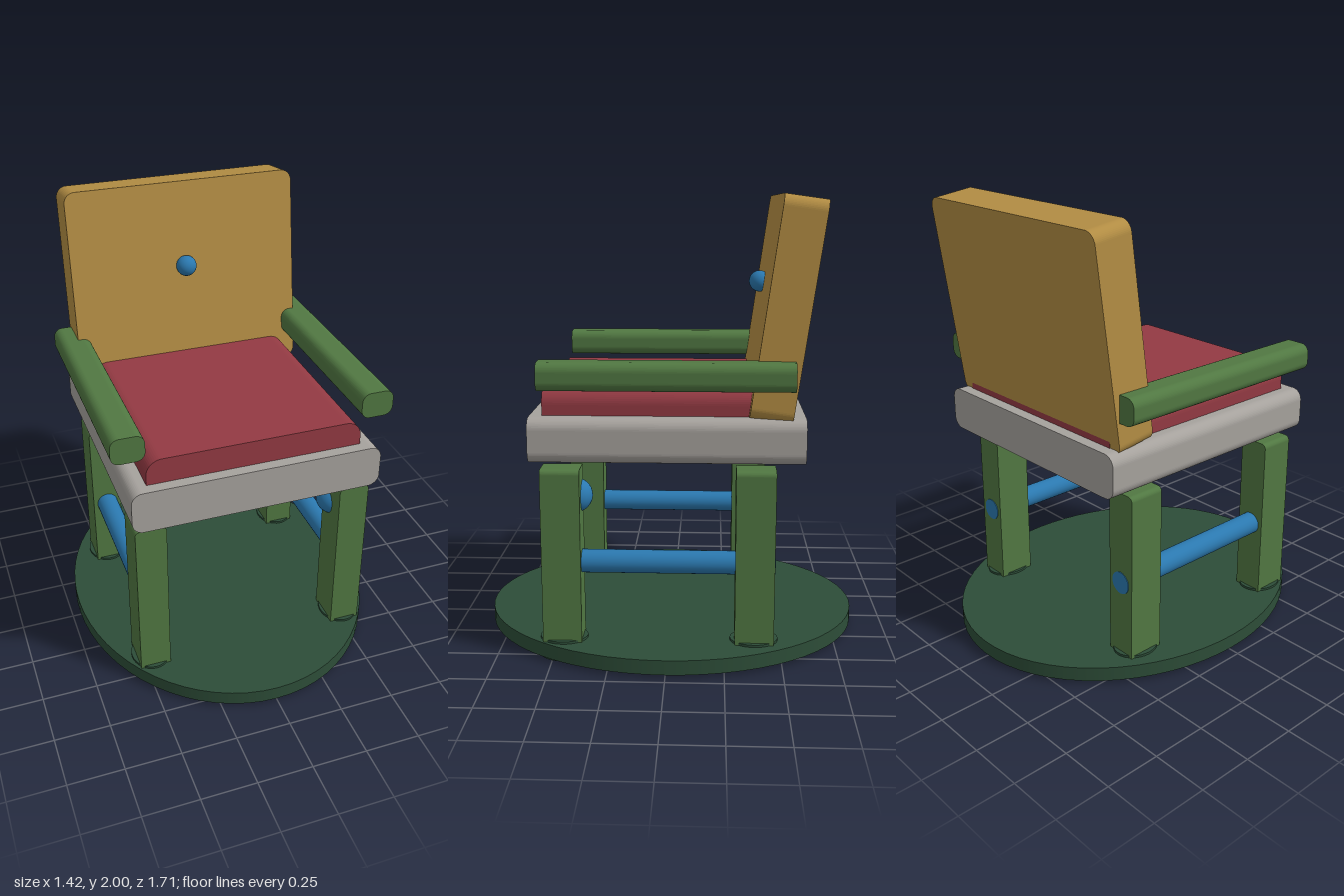
import * as THREE from 'three';

const mat = (name, color) => new THREE.MeshStandardMaterial({ name, color });

export function createModel() {
  const model = new THREE.Group();
  model.name = 'chair';
  const tan = mat('tan', 0xb48e44);
  const red = mat('red', 0x933a43);
  const grey = mat('warmGrey', 0xa6a29d);
  const green = mat('green', 0x517842);
  const darkGreen = mat('darkGreen', 0x2d4d38);
  const blue = mat('blue', 0x2b79b0);

  const add = (name, geometry, material, x, y, z) => {
    const mesh = new THREE.Mesh(geometry, material);
    mesh.name = name;
    mesh.position.set(x, y, z);
    model.add(mesh);
    return mesh;
  };

  // Rounded rectangle in x and y, extruded along z and centred
  const slab = (w, h, d, r) => {
    const a = w / 2, b = h / 2;
    const s = new THREE.Shape();
    s.moveTo(-a + r, -b);
    s.lineTo(a - r, -b);
    s.absarc(a - r, -b + r, r, -Math.PI / 2, 0);
    s.absarc(a - r, b - r, r, 0, Math.PI / 2);
    s.absarc(-a + r, b - r, r, Math.PI / 2, Math.PI);
    s.absarc(-a + r, -b + r, r, Math.PI, Math.PI * 1.5);
    const g = new THREE.ExtrudeGeometry(s, { depth: d, bevelEnabled: false, curveSegments: 6 });
    return g.translate(0, 0, -d / 2);
  };

  // Seat, cushion and tilted back
  add('seat', slab(1.13, 0.195, 1.17, 0.05), grey, 0, 0.982, 0);
  add('cushion', slab(0.97, 0.19, 1.065, 0.07), red, 0, 1.1, 0);
  add('backrest', slab(1.09, 0.93, 0.182, 0.05), tan, 0, 1.528, -0.5).rotation.x = -0.14;
  add('backButton', new THREE.SphereGeometry(0.048, 24, 16), blue, 0, 1.615, -0.402);

  // Oval base plate
  const base = add('basePlate', new THREE.CylinderGeometry(1, 1, 0.065, 64), darkGreen, 0, 0.047, 0);
  base.scale.set(0.712, 1, 0.857);

  for (const side of [-1, 1]) {
    // Armrest and side rail
    add('armrest', slab(0.147, 0.12, 1.065, 0.04), green, side * 0.556, 1.264, 0);
    const rail = new THREE.CylinderGeometry(0.051, 0.051, 0.93, 24).rotateX(Math.PI / 2);
    add('sideRail', rail, blue, side * 0.475, 0.432, -0.003);

    // Legs standing in oval feet
    for (const z of [0.455, -0.38]) {
      add('leg', slab(0.14, 0.795, 0.17, 0.022), green, side * 0.475, 0.457, z);
      const foot = add('foot', new THREE.CylinderGeometry(1, 1, 0.09, 32), darkGreen, side * 0.478, 0.045, z);
      foot.scale.set(0.088, 1, 0.105);
    }
  }

  // Knob on the inner corner of the left front leg
  add('legKnob', new THREE.SphereGeometry(0.075, 24, 16), blue, 0.436, 0.718, 0.4);

  return model;
}
